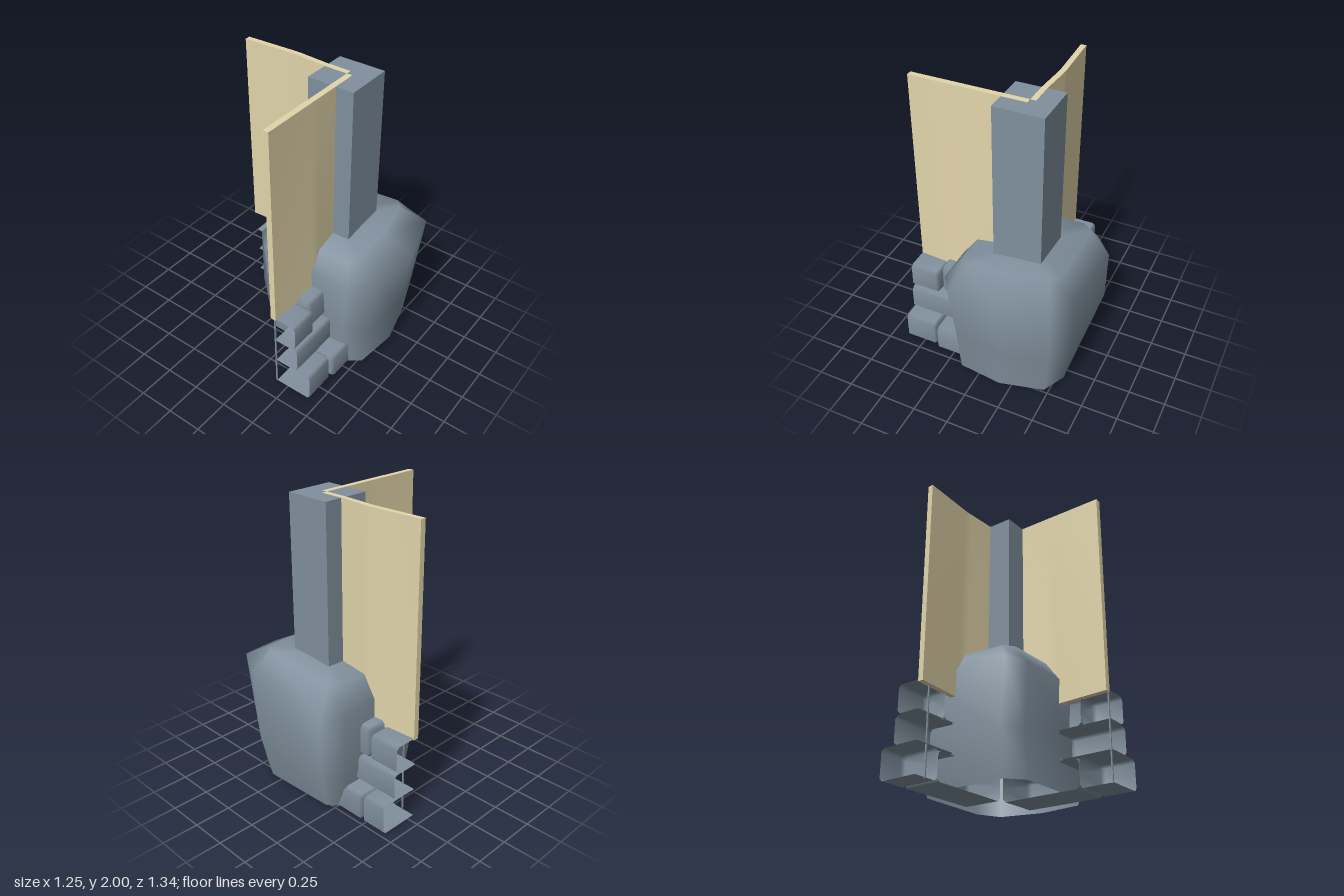
import * as THREE from 'three';
import { toCreasedNormals } from 'three/addons/utils/BufferGeometryUtils.js';

// Skin a list of rings of [x, y, z] points with soft edges; closed joins the last point to the first
function loft(rings, closed) {
  const n = rings[0].length;
  const index = [];
  for (let r = 0; r < rings.length - 1; r++) {
    for (let i = 0; i < (closed ? n : n - 1); i++) {
      const j = (i + 1) % n;
      const a = r * n + i, b = r * n + j, c = a + n, d = b + n;
      index.push(a, c, d, a, d, b);
    }
  }
  const geo = new THREE.BufferGeometry();
  geo.setAttribute('position', new THREE.Float32BufferAttribute(rings.flat(2), 3));
  geo.setIndex(index);
  geo.computeVertexNormals();
  return geo;
}

export function createModel() {
  const group = new THREE.Group();
  const stone = new THREE.MeshStandardMaterial({ color: 0x80909d, side: THREE.DoubleSide });
  const plaster = new THREE.MeshStandardMaterial({ color: 0xe2d5aa });

  function add(name, geo, mat, x = 0, y = 0, z = 0) {
    const mesh = new THREE.Mesh(geo, mat);
    mesh.name = name;
    mesh.position.set(x, y, z);
    group.add(mesh);
  }

  // Corner boulder: bottom, waist, shoulder and top rings, open underneath
  const at = (y, pts) => pts.map(([x, z]) => [x, y, z]);
  const bottom = at(0.01, [[-0.235, -0.17], [-0.14, -0.28], [0.45, -0.29], [0.53, -0.2], [0.55, 0.33],
    [0.47, 0.49], [0.17, 0.565], [-0.14, 0.53], [-0.235, 0.4]]);
  const waist = at(0.33, [[-0.24, -0.2], [-0.15, -0.33], [0.5, -0.36], [0.615, -0.25], [0.615, 0.36],
    [0.51, 0.52], [0.19, 0.6], [-0.15, 0.56], [-0.24, 0.43]]);
  const shoulder = [[-0.27, 0.75, -0.21], [-0.16, 0.78, -0.32], [0.5, 0.74, -0.36], [0.62, 0.7, -0.25],
    [0.62, 0.82, 0.4], [0.53, 0.86, 0.58], [0.2, 0.82, 0.67], [-0.16, 0.77, 0.625], [-0.27, 0.74, 0.47]];
  const top = [[-0.17, 0.88, -0.2], [-0.1, 0.89, -0.25], [0.42, 0.905, -0.26], [0.5, 0.91, -0.2],
    [0.51, 0.95, 0.35], [0.45, 0.95, 0.41], [0.17, 0.93, 0.46], [-0.1, 0.895, 0.45], [-0.17, 0.88, 0.4]];
  const crown = top.map(() => [0.17, 0.917, 0.1]);
  add('boulder', loft([bottom, waist, shoulder, top, crown], true), stone);

  // Square corner post
  add('cornerPost', new THREE.BoxGeometry(0.335, 1.198, 0.33), stone, 0.172, 1.399, 0.125);

  // Wall panels, bowed outwards by a tent-shaped bulge
  const tent = (u, a, peak, b) =>
    Math.max(0, u < peak ? (u - a) / (peak - a) : (b - u) / (b - peak));
  function panel(name, axis, u0, u1, w0, w1, bulge) {
    const len = u1 - u0, bot = 0.58, h = 2 - bot;
    const geo = axis === 'x' ? new THREE.BoxGeometry(len, h, w1 - w0, 24, 6, 1)
      : new THREE.BoxGeometry(w1 - w0, h, len, 1, 6, 24);
    const mid = (u0 + u1) / 2, w = (w0 + w1) / 2;
    if (axis === 'x') geo.translate(mid, bot + h / 2, w);
    else geo.translate(w, bot + h / 2, mid);
    const p = geo.attributes.position;
    for (let i = 0; i < p.count; i++) {
      const drop = (2 - p.getY(i)) / h;
      if (axis === 'x') p.setZ(i, p.getZ(i) + bulge(p.getX(i), drop));
      else p.setX(i, p.getX(i) + bulge(p.getZ(i), drop));
    }
    add(name, toCreasedNormals(geo, 0.4), plaster);
  }
  panel('sideWallPanel', 'x', -0.625, 0.175, 0.125, 0.165, (u, d) => 0.025 * d * tent(u, -0.625, -0.22, 0));
  panel('backWallPanel', 'z', -0.67, 0.125, 0.175, 0.213, (u, d) => (0.016 + 0.008 * d) * tent(u, -0.67, -0.28, -0.04));

  // Thin stakes under the panel ends
  add('stake', new THREE.BoxGeometry(0.008, 0.58, 0.01), stone, -0.621, 0.29, 0.155);
  add('stake', new THREE.BoxGeometry(0.01, 0.58, 0.008), stone, 0.205, 0.29, -0.58);

  // Footing stones: bevelled shells, open against the wall and at the module's edge
  function footing(name, axis, u0, u1, y0, y1, w0, w1, capped) {
    const b = 0.02;
    const ring = (u, s) => {
      const t = y1 - s, l = y0 + s, f = w1 - s;
      const pts = [[w0, t], [f - b, t], [f, t - b], [f, l + b], [f - b, l], [w0, l]];
      return axis === 'x' ? pts.reverse().map(([w, y]) => [u, y, w]) : pts.map(([w, y]) => [w, y, u]);
    };
    const point = (u) => ring(u, 0).map(() =>
      axis === 'x' ? [u, (y0 + y1) / 2, w0] : [w0, (y0 + y1) / 2, u]);
    const rings = [];
    if (capped) rings.push(point(u0), ring(u0, b), ring(u0 + b, 0));
    else rings.push(ring(u0, 0));
    rings.push(ring(u1 - b, 0), ring(u1, b), point(u1));
    add(name, loft(rings, false), stone);
  }
  // Start, end, bottom, top, outer depth, whether the starting end is closed
  const sideStones = [
    [-0.625, -0.39, 0.005, 0.208, 0.435, false],
    [-0.385, 0.2, 0.005, 0.2, 0.455, true],
    [-0.625, -0.235, 0.21, 0.395, 0.335, false],
    [-0.23, 0.2, 0.21, 0.395, 0.335, true],
    [-0.625, -0.415, 0.405, 0.592, 0.32, false],
    [-0.412, -0.1, 0.405, 0.624, 0.28, true],
  ];
  for (const [u0, u1, y0, y1, w, c] of sideStones) footing('sideFootingStone', 'x', u0, u1, y0, y1, 0.16, w, c);
  const backStones = [
    [-0.67, -0.482, 0.005, 0.208, 0.483, false],
    [-0.477, 0.13, 0.005, 0.198, 0.483, true],
    [-0.67, -0.32, 0.21, 0.395, 0.385, false],
    [-0.315, 0.13, 0.21, 0.395, 0.385, true],
    [-0.67, -0.435, 0.405, 0.592, 0.37, false],
    [-0.432, -0.1, 0.405, 0.624, 0.365, true],
  ];
  for (const [u0, u1, y0, y1, w, c] of backStones) footing('backFootingStone', 'z', u0, u1, y0, y1, 0.2, w, c);

  return group;
}
